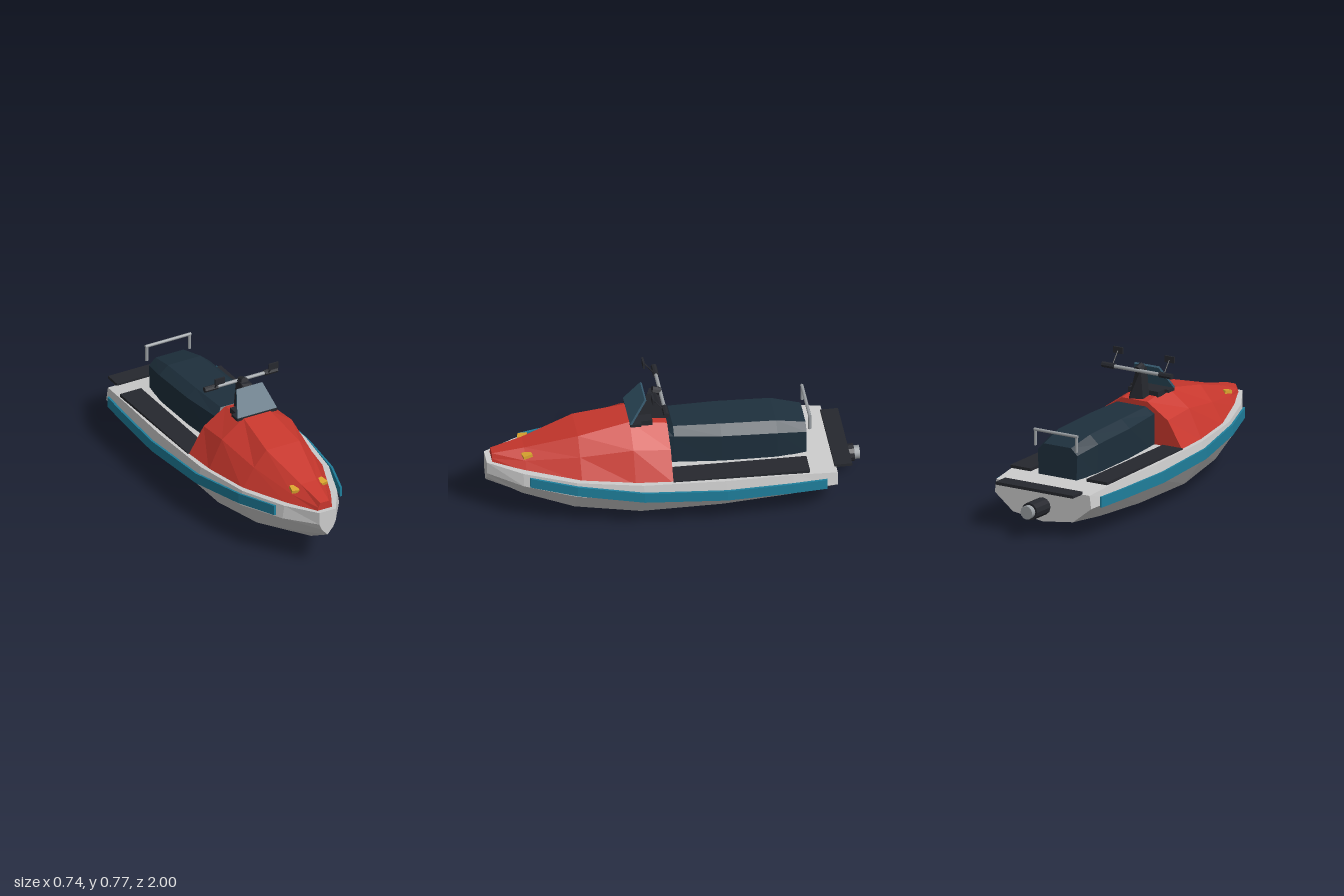
import * as THREE from 'three';

const mat = (color, flat = true) =>
  new THREE.MeshStandardMaterial({ color, flatShading: flat, side: THREE.DoubleSide });
const GREY = mat(0xcccccc), METAL = mat(0x9a9fa3, false), RED = mat(0xc8372d), TEAL = mat(0x1f7f9c);
const SEAT = mat(0x1e303d), DARK = mat(0x26282e), GLASS = mat(0x33566a), GOLD = mat(0xd9a32e);

// Full cross-section from its +x half, listed bottom to top
const sym = half => [...half, ...half.slice().reverse().map(([x, y]) => [-x, y])];

// Faceted closed skin through sections { z, ring }, ordered front to back,
// each ring running counter-clockwise as seen from the front
function loft(sections) {
  const pos = [];
  const pt = (s, j) => {
    const [x, y, dz = 0] = s.ring[j % s.ring.length];
    return [x, y, s.z + dz];
  };
  const tri = (a, b, c) => pos.push(...a, ...b, ...c);
  const n = sections[0].ring.length;
  for (let i = 0; i < sections.length - 1; i++) {
    const f = sections[i], b = sections[i + 1];
    for (let j = 0; j < n; j++) {
      tri(pt(f, j), pt(b, j), pt(f, j + 1));
      tri(pt(f, j + 1), pt(b, j), pt(b, j + 1));
    }
  }
  const first = sections[0], last = sections[sections.length - 1];
  for (let j = 1; j < n - 1; j++) {
    tri(pt(first, 0), pt(first, j), pt(first, j + 1));
    tri(pt(last, 0), pt(last, j + 1), pt(last, j));
  }
  const g = new THREE.BufferGeometry();
  g.setAttribute('position', new THREE.Float32BufferAttribute(pos, 3));
  g.computeVertexNormals();
  return g;
}

export function createModel() {
  const model = new THREE.Group();
  model.name = 'personalWatercraft';
  const add = (name, geometry, material, x = 0, y = 0, z = 0) => {
    const m = new THREE.Mesh(geometry, material);
    m.name = name;
    m.position.set(x, y, z);
    model.add(m);
    return m;
  };
  const box = (name, material, w, h, d, x, y, z) =>
    add(name, new THREE.BoxGeometry(w, h, d), material, x, y, z);
  // Cylinder between two points
  const rod = (name, material, a, b, r, sides = 10) => {
    const p = new THREE.Vector3(...a), q = new THREE.Vector3(...b);
    const m = add(name, new THREE.CylinderGeometry(r, r, p.distanceTo(q), sides), material);
    m.position.copy(p).add(q).multiplyScalar(0.5);
    m.quaternion.setFromUnitVectors(new THREE.Vector3(0, 1, 0), q.sub(p).normalize());
    return m;
  };

  // Hull: z, keel y, chine x y, widest x y, deck edge x y
  const hull = [
    [1.0, 0.205, 0.035, 0.245, 0.05, 0.28, 0.05, 0.35],
    [0.82, 0.105, 0.105, 0.17, 0.172, 0.262, 0.16, 0.335],
    [0.55, 0.033, 0.175, 0.1, 0.275, 0.237, 0.262, 0.318],
    [0.2, 0.002, 0.212, 0.056, 0.333, 0.215, 0.318, 0.302],
    [-0.24, 0.0, 0.215, 0.055, 0.342, 0.2, 0.327, 0.288],
    [-0.6, 0.03, 0.205, 0.07, 0.33, 0.19, 0.315, 0.278],
    [-0.84, 0.065, 0.19, 0.09, 0.305, 0.18, 0.295, 0.252],
  ];
  add('hull', loft(hull.map(([z, k, cx, cy, wx, wy, dx, dy]) =>
    ({ z, ring: sym([[0, k], [cx, cy], [wx, wy], [dx, dy]]) }))), GREY);

  // Side bands: z, outer x, bottom y, top y
  const band = [
    [0.79, 0.205, 0.275, 0.332], [0.55, 0.287, 0.25, 0.308], [0.2, 0.348, 0.212, 0.27],
    [-0.24, 0.368, 0.19, 0.25], [-0.6, 0.348, 0.182, 0.24], [-0.78, 0.332, 0.178, 0.236],
  ];
  for (const s of [1, -1]) {
    add(s > 0 ? 'leftBand' : 'rightBand', loft(band.map(([z, x, b, t]) => {
      const ring = [[x - 0.012, b], [x, b], [x, t], [x - 0.012, t]];
      return { z, ring: s > 0 ? ring : ring.map(([u, v]) => [-u, v]).reverse() };
    })), TEAL);
  }

  // Hood: z, base x y, shoulder x y, crown x y
  const hood = [
    [0.97, 0.045, 0.345, 0.038, 0.365, 0.026, 0.39],
    [0.8, 0.135, 0.325, 0.1, 0.375, 0.048, 0.425],
    [0.52, 0.248, 0.305, 0.175, 0.42, 0.1, 0.506],
    [0.24, 0.293, 0.295, 0.212, 0.46, 0.08, 0.553],
    [0.04, 0.303, 0.29, 0.21, 0.44, 0.08, 0.523],
  ];
  add('hood', loft(hood.map(([z, bx, by, sx, sy, tx, ty]) =>
    ({ z, ring: sym([[bx, by], [sx, sy], [tx, ty]]) }))), RED);
  box('hoodVent', DARK, 0.12, 0.014, 0.03, 0, 0.452, 0.67).rotation.x = 0.25;

  // Seat: z, base half width, shoulder x y, top x y
  const seat = [
    [0.04, 0.125, 0.125, 0.465, 0.085, 0.48],
    [0.01, 0.127, 0.13, 0.465, 0.09, 0.506],
    [-0.24, 0.145, 0.153, 0.455, 0.1, 0.5],
    [-0.54, 0.145, 0.153, 0.44, 0.1, 0.486],
    [-0.7, 0.12, 0.125, 0.41, 0.085, 0.447],
  ];
  add('seat', loft(seat.map(([z, bx, sx, sy, tx, ty]) =>
    ({ z, ring: sym([[bx, 0.275], [sx, sy], [tx, ty]]) }))), SEAT);

  // Windscreen, leaning back
  const pane = new THREE.Shape([[-0.12, 0], [0.12, 0], [0.078, 0.151], [-0.078, 0.151]]
    .map(p => new THREE.Vector2(...p)));
  const screen = add('windscreen',
    new THREE.ExtrudeGeometry(pane, { depth: 0.012, bevelEnabled: false }), GLASS, 0, 0.557, 0.235);
  screen.rotation.x = -0.597;

  // Steering console: base plate and wedge column
  box('consoleBase', DARK, 0.24, 0.016, 0.06, 0, 0.552, 0.212);
  box('consolePlate', DARK, 0.19, 0.03, 0.1, 0, 0.545, 0.17);
  add('steeringColumn', loft([
    { z: 0.12, ring: sym([[0.04, 0.53, 0.08], [0.025, 0.685, 0.02]]) },
    { z: 0.06, ring: sym([[0.04, 0.515, -0.02], [0.025, 0.685, 0.035]]) },
  ]), DARK);
  rod('columnCap', DARK, [0, 0.677, 0.065], [0, 0.69, 0.11], 0.022, 8);

  // Handlebar
  rod('handlebar', METAL, [-0.2, 0.677, 0.065], [0.2, 0.677, 0.065], 0.01);

  for (const s of [1, -1]) {
    const side = s > 0 ? 'left' : 'right';
    rod(side + 'Grip', DARK, [s * 0.142, 0.677, 0.065], [s * 0.22, 0.677, 0.065], 0.016, 8);
    rod(side + 'MirrorStem', DARK, [s * 0.163, 0.68, 0.075], [s * 0.163, 0.745, 0.125], 0.004, 6);
    box(side + 'Mirror', DARK, 0.058, 0.035, 0.01, s * 0.163, 0.748, 0.13);
    const lamp = box(side + 'Headlight', GOLD, 0.04, 0.018, 0.05, s * 0.083, 0.4, 0.79);
    lamp.rotation.set(0.15, s * 0.2, 0);
    const mat = box(side + 'FootMat', DARK, 0.128, 0.016, 0.73, s * 0.242, 0.289, -0.325);
    mat.rotation.x = -0.015;
    rod(side + 'RailPost', METAL, [s * 0.13, 0.435, -0.715], [s * 0.13, 0.52, -0.715], 0.009, 8);
  }

  // Stern: grab rail, boarding step and jet nozzle
  rod('grabRail', METAL, [-0.138, 0.521, -0.715], [0.138, 0.521, -0.715], 0.009, 8);
  box('boardingStep', DARK, 0.49, 0.016, 0.095, 0, 0.257, -0.878);
  rod('jetNozzle', DARK, [0, 0.15, -0.82], [0, 0.15, -0.97], 0.048, 12);
  rod('nozzleOutlet', METAL, [0, 0.15, -0.9], [0, 0.15, -1.0], 0.037, 12);

  return model;
}
